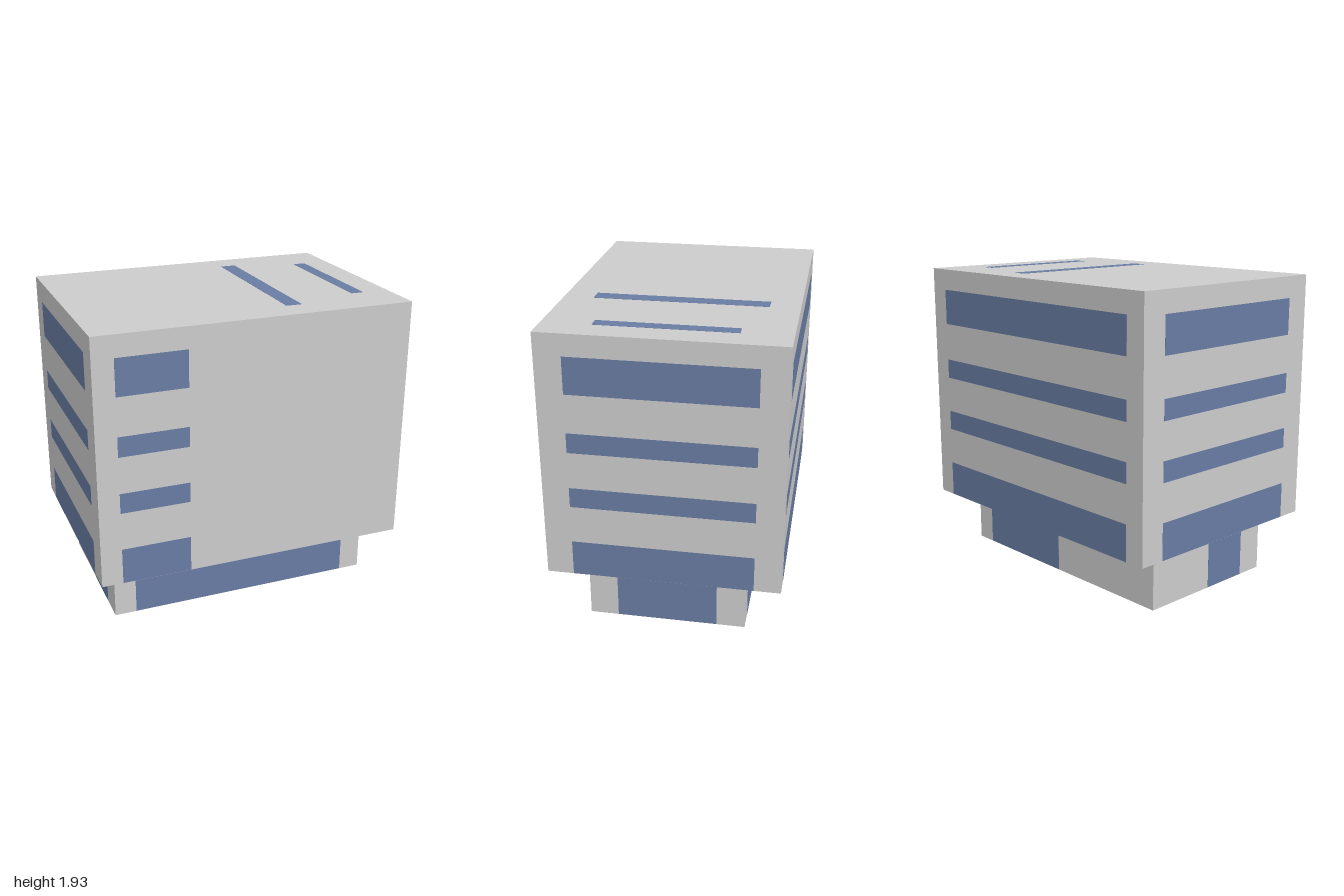
import * as THREE from 'three';

const wallMat = new THREE.MeshStandardMaterial({ color: 0xcccccc });
wallMat.name = 'concrete grey';
const glassMat = new THREE.MeshStandardMaterial({ color: 0x697ca3 });
glassMat.name = 'glass blue';

const PROUD = 0.001; // how far a pane stands out of its wall

// Box given by its lower and upper limits on each axis
function addBox(parent, name, mat, [x0, x1], [y0, y1], [z0, z1]) {
  const mesh = new THREE.Mesh(new THREE.BoxGeometry(x1 - x0, y1 - y0, z1 - z0), mat);
  mesh.name = name;
  mesh.position.set((x0 + x1) / 2, (y0 + y1) / 2, (z0 + z1) / 2);
  parent.add(mesh);
}

const around = (c) => [c - PROUD, c + PROUD];
const centred = (size) => [-size / 2, size / 2];

// Thin panes on the four walls of a w x d block; spans run along each wall
function addPanes(parent, name, w, d, spans, ys) {
  addBox(parent, name + 'Front', glassMat, spans.front, ys, around(d / 2));
  addBox(parent, name + 'Back', glassMat, spans.back, ys, around(-d / 2));
  addBox(parent, name + 'Left', glassMat, around(w / 2), ys, spans.left);
  addBox(parent, name + 'Right', glassMat, around(-w / 2), ys, spans.right);
}

export function createModel() {
  const model = new THREE.Group();
  model.name = 'officeBuilding';

  // Recessed ground floor with glazing between grey piers
  const ground = new THREE.Group();
  ground.name = 'groundFloor';
  const gw = 1.738, gd = 0.988;
  addBox(ground, 'groundFloorWalls', wallMat, centred(gw), [0, 0.37], centred(gd));
  addPanes(ground, 'groundGlazing', gw, gd, {
    front: centred(1.46), back: [0, 0.73], left: centred(0.63), right: [0, 0.315],
  }, [0.001, 0.369]);
  model.add(ground);

  // Overhanging upper storeys
  const upper = new THREE.Group();
  upper.name = 'upperStoreys';
  const w = 2 - PROUD * 2, d = 1.438, top = 1.932;
  addBox(upper, 'upperWalls', wallMat, centred(w), [0.37, top], centred(d));

  // Ribbon windows, bottom to top; short ones on the front
  const spans = {
    front: [-0.868, -0.434], back: centred(1.735), left: centred(1.11), right: centred(1.11),
  };
  const bands = [[0.371, 0.6], [0.84, 0.968], [1.2, 1.326], [1.568, 1.797]];
  bands.forEach((ys, i) => addPanes(upper, 'ribbonWindow' + (i + 1), w, d, spans, ys));

  // Two painted strips on the roof
  addBox(upper, 'roofStripInner', glassMat, [0.25, 0.35], around(top), centred(1.07));
  addBox(upper, 'roofStripOuter', glassMat, [0.75, 0.83], around(top), centred(0.84));
  model.add(upper);

  return model;
}
